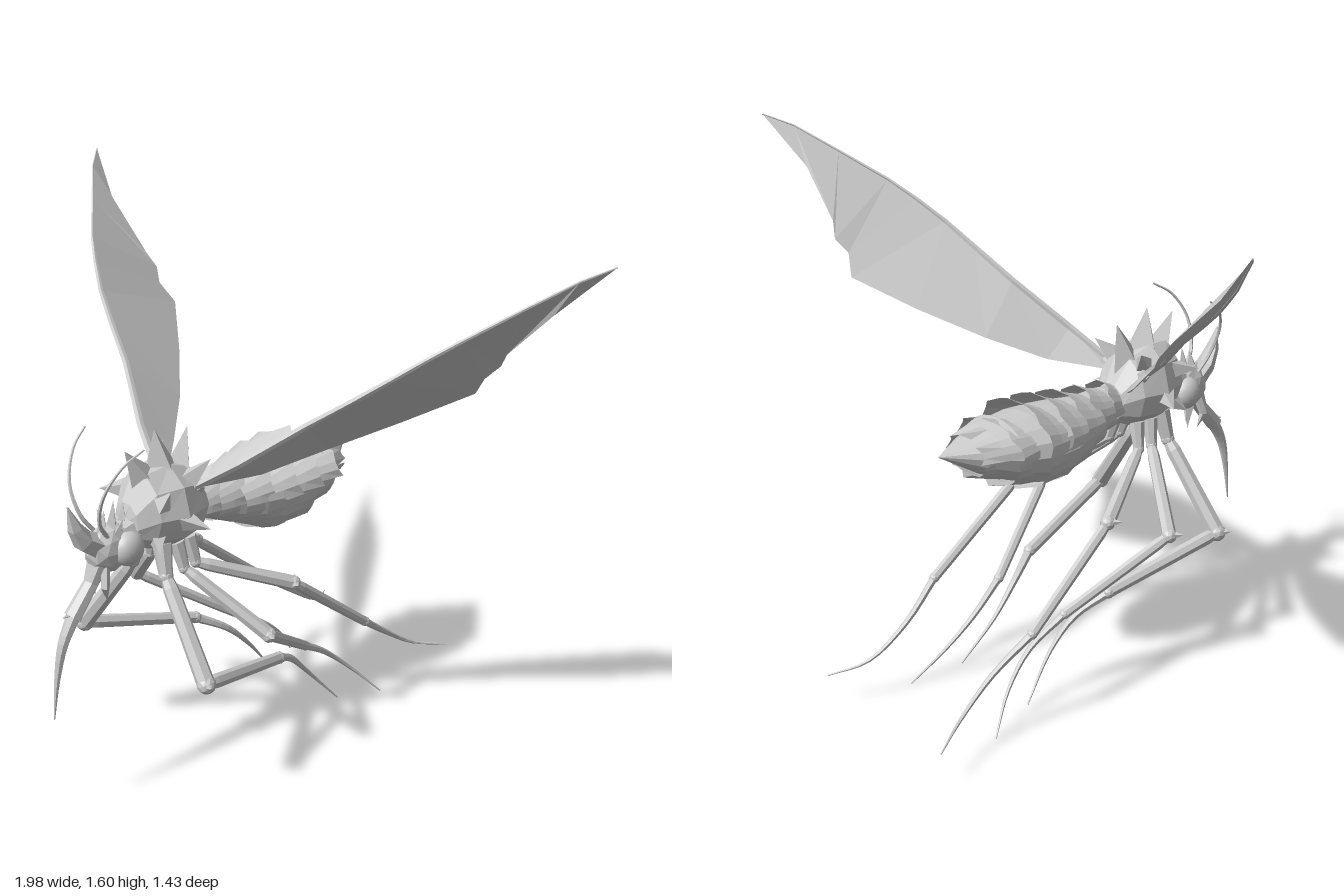
import * as THREE from 'three';

const solid = new THREE.MeshStandardMaterial({ color: 0xcccccc, flatShading: true });
const sheet = new THREE.MeshStandardMaterial({ color: 0xcccccc, flatShading: true, side: THREE.DoubleSide });
const smooth = new THREE.MeshStandardMaterial({ color: 0xcccccc });
const V = (x, y, z) => new THREE.Vector3(x, y, z);

// Skin a list of equal-length point rows; closed joins each row end to start
function loft(rows, closed = true) {
  const n = rows[0].length, index = [];
  for (let i = 0; i < rows.length - 1; i++) {
    for (let j = 0; j < (closed ? n : n - 1); j++) {
      const k = (j + 1) % n, a = i * n, b = a + n;
      index.push(a + j, a + k, b + j, a + k, b + k, b + j);
    }
  }
  let g = new THREE.BufferGeometry().setFromPoints(rows.flat());
  g.setIndex(index);
  g = g.toNonIndexed();
  g.computeVertexNormals();
  return g;
}

// Tapered limb through points with one radius per point
function limb(pts, radii, sides = 7) {
  const rows = pts.map((p, i) => {
    const t = pts[Math.min(i + 1, pts.length - 1)].clone().sub(pts[Math.max(i - 1, 0)]).normalize();
    const u = t.clone().cross(V(1, 0, 0)).normalize(), v = t.clone().cross(u);
    return Array.from({ length: sides }, (_, j) => {
      const a = j / sides * Math.PI * 2;
      return p.clone().addScaledVector(u, Math.cos(a) * radii[i]).addScaledVector(v, Math.sin(a) * radii[i]);
    });
  });
  const cap = p => Array.from({ length: sides }, () => p.clone());
  return loft([cap(pts[0]), ...rows, cap(pts[pts.length - 1])]);
}

// Smoothly curved limb
function curvedLimb(pts, r0, r1, sides = 7, steps = 12) {
  const p = new THREE.CatmullRomCurve3(pts).getPoints(steps);
  return limb(p, p.map((_, i) => THREE.MathUtils.lerp(r0, r1, i / steps)), sides);
}

// Body ring: z, top, bottom, half width and height of the widest line
function ring([z, top, bottom, w, mid], n = 14) {
  return Array.from({ length: n }, (_, j) => {
    const a = j / n * Math.PI * 2, s = -Math.sin(a);
    return V(w * Math.cos(a), mid + s * (s > 0 ? top - mid : mid - bottom), z);
  });
}

// Sharp thorn from one point to another
function spike(from, to, r, sides = 4) {
  const d = to.clone().sub(from);
  const g = new THREE.ConeGeometry(r, d.length(), sides);
  g.translate(0, d.length() / 2, 0);
  g.applyQuaternion(new THREE.Quaternion().setFromUnitVectors(V(0, 1, 0), d.normalize()));
  return g.translate(from.x, from.y, from.z);
}

// Half-shell armour plate; dir +1 covers the back, -1 the belly
function plate(z0, z1, front, back, w0, w1, mid, dir, point) {
  const n = 12;
  const row = (z, h, w, jag) => Array.from({ length: n + 1 }, (_, j) => {
    const a = j / n * Math.PI, tooth = j === n / 2 ? 1 : j % 3 === 0 ? 0.45 : 0;
    return V(w * Math.cos(a), mid + (h - mid) * Math.sin(a) + dir * jag * tooth * 0.5 * Math.sin(a), z - jag * tooth);
  });
  return loft([row(z0, front, w0, 0), row((z0 + z1) / 2, front * 0.6 + back * 0.4, (w0 + w1) / 2, 0), row(z1, back, w1, point)], false);
}

export function createModel() {
  const root = new THREE.Group();
  const add = (name, geometry, material = solid, parent = root) => {
    const m = new THREE.Mesh(geometry, material);
    m.name = name;
    parent.add(m);
    return m;
  };

  // Abdomen core
  add('abdomen', loft([
    [0.22, 0.86, 0.78, 0.04, 0.82], [0.14, 0.875, 0.76, 0.06, 0.82], [0.06, 0.87, 0.725, 0.08, 0.8],
    [-0.02, 0.875, 0.69, 0.12, 0.8], [-0.08, 0.88, 0.66, 0.14, 0.79], [-0.17, 0.885, 0.67, 0.145, 0.79],
    [-0.26, 0.88, 0.705, 0.125, 0.8], [-0.36, 0.865, 0.755, 0.08, 0.815], [-0.48, 0.836, 0.834, 0.001, 0.835]
  ].map(r => ring(r))));

  // Overlapping back plates: front z, rear z, rear height, rear half width
  [[0.19, 0.13, 0.9, 0.07], [0.13, 0.045, 0.905, 0.09], [0.06, -0.03, 0.91, 0.13], [-0.01, -0.11, 0.92, 0.155],
    [-0.09, -0.195, 0.925, 0.162], [-0.18, -0.29, 0.89, 0.15]].forEach(([z0, z1, h, w]) =>
    add('backPlate', plate(z0, z1, 0.872, h, w * 0.8, w, 0.8, 1, 0.035), sheet));
  add('tailPlate', plate(-0.27, -0.38, 0.895, 0.868, 0.128, 0.08, 0.81, 1, 0.03), sheet);

  // Belly plates
  [[0.14, 0.04, 0.755, 0.725, 0.08], [0.06, -0.03, 0.725, 0.685, 0.115], [-0.01, -0.1, 0.685, 0.655, 0.14],
    [-0.09, -0.19, 0.66, 0.66, 0.15], [-0.18, -0.29, 0.67, 0.7, 0.13], [-0.28, -0.38, 0.71, 0.755, 0.085]].forEach(([z0, z1, f, b, w]) =>
    add('bellyPlate', plate(z0, z1, f, b, w * 0.92, w, 0.8, -1, 0.015), sheet));

  // Thorax and neck
  add('thorax', loft([
    [0.45, 0.84, 0.79, 0.001, 0.82], [0.43, 0.9, 0.78, 0.05, 0.83], [0.38, 0.98, 0.745, 0.09, 0.85],
    [0.3, 0.99, 0.73, 0.12, 0.85], [0.22, 0.96, 0.735, 0.1, 0.85], [0.17, 0.88, 0.76, 0.06, 0.83], [0.15, 0.83, 0.81, 0.001, 0.82]
  ].map(r => ring(r, 10))));
  [[0.36, 0.94, 0.43, 1.05, 0.05], [0.3, 0.95, 0.32, 1.085, 0.06], [0.24, 0.92, 0.195, 1.06, 0.055]].forEach(([z0, y0, z1, y1, r]) =>
    add('crestSpike', spike(V(0, y0, z0), V(0, y1, z1), r)));
  add('neck', limb([V(0, 0.81, 0.46), V(0, 0.82, 0.4)], [0.045, 0.055], 8));

  // Head, brow horn and jaw
  const skull = add('head', new THREE.IcosahedronGeometry(0.065, 1));
  skull.scale.set(0.8, 1.1, 1.15);
  skull.position.set(0, 0.785, 0.5);
  add('browHorn', limb([V(0, 0.79, 0.52), V(0, 0.835, 0.585), V(0, 0.88, 0.612), V(0, 0.95, 0.635)], [0.04, 0.032, 0.022, 0.002], 5));
  [[0.51, 0.9], [0.475, 0.92], [0.44, 0.905]].forEach(([z, y]) =>
    add('headSpike', spike(V(0, 0.82, z + 0.015), V(0, y, z), 0.025)));
  add('jawSpike', spike(V(0, 0.73, 0.52), V(0, 0.635, 0.51), 0.022));

  // Proboscis
  add('proboscisBase', limb([V(0, 0.76, 0.53), V(0, 0.7, 0.565), V(0, 0.62, 0.635)], [0.035, 0.022, 0.026]));
  add('proboscis', curvedLimb([V(0, 0.64, 0.62), V(0, 0.55, 0.672), V(0, 0.45, 0.698), V(0, 0.33, 0.715)], 0.022, 0.002));
  add('proboscisSpike', spike(V(0, 0.635, 0.62), V(0, 0.63, 0.67), 0.018));

  // Wing edges, root to tip
  const lead = [[0.06, 0.9, 0.25], [0.2, 1, 0.19], [0.36, 1.13, 0.1], [0.48, 1.22, 0.05], [0.57, 1.29, 0.01],
    [0.65, 1.355, -0.04], [0.72, 1.41, -0.09], [0.83, 1.495, -0.19], [0.93, 1.57, -0.28], [0.99, 1.605, -0.35]];
  const trail = [[0.06, 0.895, 0.22], [0.18, 0.93, 0.08], [0.3, 1, -0.06], [0.45, 1.085, -0.2], [0.6, 1.175, -0.325],
    [0.645, 1.235, -0.3], [0.68, 1.275, -0.322], [0.71, 1.32, -0.305], [0.85, 1.46, -0.295], [0.99, 1.605, -0.35]];

  // Legs: hip, knee, ankle, then the tarsus curve; femur radius
  const legs = [
    { name: 'frontLeg', r: 0.027, p: [[0.045, 0.76, 0.34], [0.07, 0.67, 0.35], [0.26, 0.41, 0.38], [0.18, 0.31, 0], [0.14, 0.25, -0.1], [0.13, 0.16, -0.19], [0.155, 0.035, -0.3]] },
    { name: 'middleLeg', r: 0.022, p: [[0.05, 0.75, 0.29], [0.07, 0.67, 0.28], [0.28, 0.485, 0.15], [0.15, 0.28, -0.15], [0.13, 0.2, -0.27], [0.15, 0.11, -0.37], [0.2, 0.01, -0.46]] },
    { name: 'rearLeg', r: 0.022, p: [[0.045, 0.75, 0.24], [0.065, 0.67, 0.23], [0.205, 0.56, -0.03], [0.225, 0.32, -0.34], [0.2, 0.225, -0.47], [0.215, 0.14, -0.6], [0.27, 0.11, -0.71]] }
  ];

  for (const s of [1, -1]) {
    const side = s > 0 ? 'left' : 'right';
    const M = ([x, y, z]) => V(s * x, y, z);

    // Wing membrane and its stiff front edge
    const wing = new THREE.Group();
    wing.name = side + 'Wing';
    root.add(wing);
    add('membrane', loft([lead.map(M), trail.map(M)], false), sheet, wing);
    add('wingEdge', limb(lead.map(M), lead.map((_, i) => 0.012 - i * 0.0011), 5), solid, wing);
    add('wingJoint', limb([M([0.03, 0.87, 0.25]), M([0.09, 0.92, 0.225])], [0.04, 0.015], 6), solid, wing);

    // Eye, antenna and cheek thorns
    const eye = add(side + 'Eye', new THREE.SphereGeometry(0.05, 20, 14), smooth);
    eye.scale.x = 0.75;
    eye.position.set(s * 0.04, 0.783, 0.46);
    add(side + 'Antenna', curvedLimb([[0.025, 0.83, 0.52], [0.04, 0.89, 0.56], [0.07, 0.98, 0.568], [0.1, 1.06, 0.525], [0.12, 1.1, 0.465]].map(M), 0.007, 0.003, 5, 16));
    add(side + 'Palp', limb([[0.02, 0.75, 0.53], [0.035, 0.69, 0.545], [0.025, 0.645, 0.53]].map(M), [0.014, 0.013, 0.001], 5));
    add(side + 'BrowSpike', spike(M([0.025, 0.82, 0.49]), M([0.055, 0.885, 0.49]), 0.018));

    // Shoulder thorns
    [[[0.08, 0.84, 0.31], [0.17, 0.82, 0.27], 0.04], [[0.07, 0.9, 0.36], [0.125, 0.9, 0.42], 0.035],
      [[0.06, 0.93, 0.25], [0.1, 0.99, 0.2], 0.035], [[0.06, 0.79, 0.37], [0.1, 0.76, 0.4], 0.03]].forEach(([a, b, r]) =>
      add(side + 'ShoulderSpike', spike(M(a), M(b), r)));

    // Legs
    for (const { name, r, p } of legs) {
      const leg = new THREE.Group();
      leg.name = side + name[0].toUpperCase() + name.slice(1);
      root.add(leg);
      const q = p.map(M);
      add('hip', limb([q[0], q[1]], [r * 1.1, r * 0.75]), solid, leg);
      add('femur', limb([q[1], q[1].clone().lerp(q[2], 0.12), q[2]], [r * 0.6, r * 0.85, r]), solid, leg);
      add('shin', limb([q[2], q[2].clone().lerp(q[3], 0.1), q[3]], [r * 0.6, r * 0.78, r * 0.68]), solid, leg);
      add('foot', curvedLimb(q.slice(3), r * 0.55, 0.002, 6), solid, leg);
      [[q[1], 0.8], [q[2], 1.05], [q[3], 0.72]].forEach(([c, k]) =>
        add('joint', new THREE.IcosahedronGeometry(r * k, 1).translate(c.x, c.y, c.z), solid, leg));
      add('kneeSpike', spike(q[2], q[2].clone().add(V(s * 0.04, 0.01, 0.02)), r * 0.8), solid, leg);
    }
  }
  return root;
}
